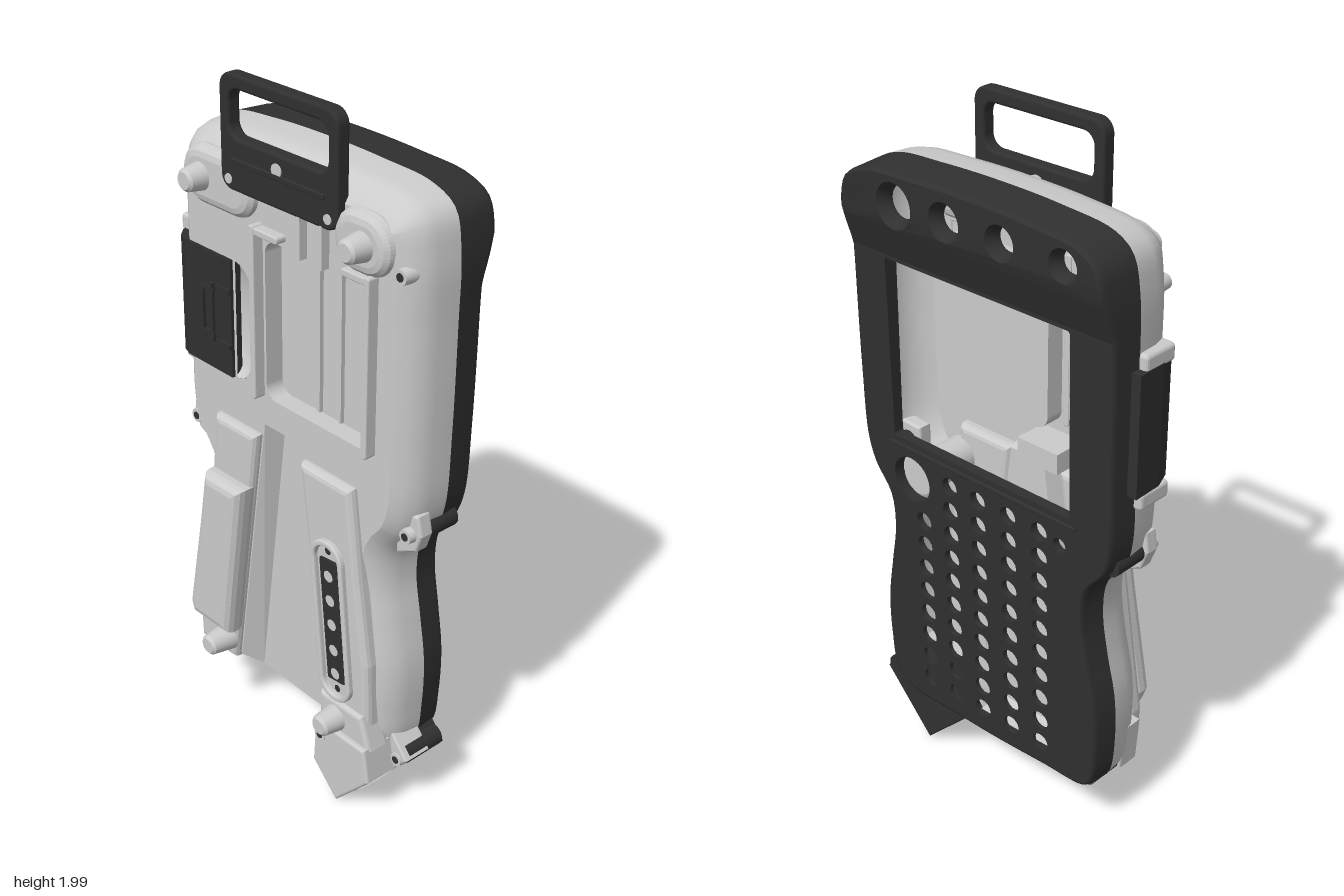
import * as THREE from 'three';

const grey = new THREE.MeshStandardMaterial({ color: 0xcccccc, side: THREE.DoubleSide });
const dark = new THREE.MeshStandardMaterial({ color: 0x303030, side: THREE.DoubleSide });
const pale = new THREE.MeshStandardMaterial({ color: 0xffffff });
const V = (x, y) => new THREE.Vector2(x, y);
const poly = (a) => a.map(([x, y]) => V(x, y));

// Body outline, clockwise seen from the front
const OUTLINE = [
  [-0.36, 1.815], [-0.2, 1.835], [0, 1.842], [0.2, 1.838], [0.36, 1.825], [0.435, 1.785], [0.46, 1.68],
  [0.463, 1.5], [0.463, 1.2], [0.455, 1.0], [0.43, 0.92], [0.375, 0.84], [0.365, 0.74], [0.385, 0.62],
  [0.408, 0.48], [0.408, 0.34], [0.39, 0.22], [0.33, 0.17], [0.15, 0.165], [0, 0.165], [-0.2, 0.175],
  [-0.355, 0.185], [-0.383, 0.215], [-0.4, 0.34], [-0.395, 0.48], [-0.365, 0.62], [-0.348, 0.74],
  [-0.36, 0.84], [-0.42, 0.92], [-0.44, 1.0], [-0.443, 1.2], [-0.443, 1.5], [-0.438, 1.68], [-0.415, 1.775]];
const curve = new THREE.CatmullRomCurve3(OUTLINE.map(([x, y]) => new THREE.Vector3(x, y, 0)), true, 'centripetal');
const N = 200;
const ring = (inset) => Array.from({ length: N }, (_, i) => {
  const p = curve.getPointAt(i / N), t = curve.getTangentAt(i / N);
  return V(p.x + t.y * inset, p.y - t.x * inset);
});

// Skin over cross-sections: each section is a list of Vector3
function loft(sections, closed = true) {
  const n = sections[0].length, idx = [], last = closed ? n : n - 1;
  for (let s = 0; s < sections.length - 1; s++)
    for (let i = 0; i < last; i++) {
      const a = s * n + i, b = s * n + (i + 1) % n;
      idx.push(a, b, a + n, b, b + n, a + n);
    }
  const g = new THREE.BufferGeometry().setFromPoints(sections.flat());
  g.setIndex(idx);
  g.computeVertexNormals();
  return g;
}
const lift = (pts, z) => pts.map((p) => new THREE.Vector3(p.x, p.y, typeof z === 'function' ? z(p) : z));
const wall = (pts, z0, z1) => loft([lift(pts, z0), lift(pts, z1)]);

function face(pts, holes, z) {
  const s = new THREE.Shape(pts);
  s.holes = holes.map((h) => new THREE.Path(h));
  const g = new THREE.ShapeGeometry(s), p = g.attributes.position;
  for (let i = 0; i < p.count; i++) p.setZ(i, typeof z === 'function' ? z({ x: p.getX(i), y: p.getY(i) }) : z);
  g.computeVertexNormals();
  return g;
}
function roundRect(x0, y0, x1, y1, r) {
  const s = new THREE.Shape(), q = Math.PI / 2;
  s.absarc(x1 - r, y1 - r, r, 0, q).absarc(x0 + r, y1 - r, r, q, 2 * q);
  s.absarc(x0 + r, y0 + r, r, 2 * q, 3 * q).absarc(x1 - r, y0 + r, r, 3 * q, 4 * q);
  return s.getPoints(6).slice(0, -1);
}
const circle = (x, y, r, n = 14) => Array.from({ length: n }, (_, i) =>
  V(x + r * Math.cos(i / n * 2 * Math.PI), y + r * Math.sin(i / n * 2 * Math.PI)));

// Raised block with rounded upper edge
function slab(pts, z0, z1, bevel = 0.01, holes = []) {
  const s = new THREE.Shape(pts);
  s.holes = holes.map((h) => new THREE.Path(h));
  const g = new THREE.ExtrudeGeometry(s, { depth: z1 - z0 - 2 * bevel, bevelEnabled: true,
    bevelSize: bevel, bevelOffset: -bevel, bevelThickness: bevel, bevelSegments: 3 });
  return g.translate(0, 0, z0 + bevel);
}
// Keep the part of a polygon between two heights
function band(pts, lo, hi) {
  for (const [y, sign] of [[lo, 1], [hi, -1]]) {
    const out = [];
    pts.forEach((a, i) => {
      const b = pts[(i + 1) % pts.length], da = (a.y - y) * sign, db = (b.y - y) * sign;
      if (da >= 0) out.push(a);
      if (da * db < 0) out.push(a.clone().lerp(b, da / (da - db)));
    });
    pts = out;
  }
  return pts;
}

export function createModel() {
  const root = new THREE.Group();
  const body = new THREE.Group();
  body.name = 'body';
  body.rotation.y = -0.014;
  root.add(body);
  const add = (name, geo, mat = grey, parent = body) => {
    const m = new THREE.Mesh(geo, mat);
    m.name = name;
    parent.add(m);
    return m;
  };
  const post = (name, x, y, z0, z1, r0, r1, mat = grey, parent = body) => {
    const g = new THREE.CylinderGeometry(r1, r0, z1 - z0, 24).rotateX(Math.PI / 2);
    return add(name, g.translate(x, y, (z0 + z1) / 2), mat, parent);
  };

  // Grey shell with a tapering channel open at the bottom
  const TOP = 0.085, FLOOR = 0.03;
  const seam = (p) => -0.047 - 0.011 * p.y;
  const inChannel = (p) => p.y < 0.3 && p.x > -0.2 && p.x < 0.18;
  const base = ring(0), lip = ring(0.014);
  const levels = [[0, 0.004], [0.035, 0.014], [0.065, 0.036], [TOP, 0.065]];
  add('shellSide', loft([lift(base, seam), ...levels.map(([z, k]) => ring(k).map((p, i) => z > FLOOR && inChannel(base[i])
    ? new THREE.Vector3(lip[i].x, lip[i].y, FLOOR) : new THREE.Vector3(p.x, p.y, z)))]));
  const channelTop = poly([[0.185, 0.225], [0.072, 1.055], [-0.08, 1.055], [-0.2, 0.225]]);
  const channelFoot = poly([[0.18, 0.178], [0.06, 1.04], [-0.06, 1.04], [-0.165, 0.186]]);
  const cap = [];
  let cut = false;
  ring(0.065).forEach((p, i) => {
    if (!inChannel(base[i])) cap.push(p);
    else if (!cut) { cut = true; cap.push(...channelTop); }
  });
  const pocket = roundRect(-0.07, 1.14, 0.32, 1.59, 0.04);
  const scoop = Array.from({ length: 17 }, (_, i) => {
    const a = -Math.PI / 2 + i / 16 * Math.PI;
    return V(-0.19 + 0.09 * Math.cos(a), 1.32 + 0.17 * Math.sin(a));
  });
  add('shellPlate', face(cap, [pocket, scoop], TOP));
  add('channelFloor', face(channelFoot, [], FLOOR));
  const flank = loft([lift(channelFoot, FLOOR), lift(channelTop, TOP)], false).toNonIndexed();
  flank.computeVertexNormals();
  add('channelWall', flank);
  add('pocketWall', wall(pocket, FLOOR, TOP));
  add('pocketFloor', face(pocket, [], FLOOR));
  const bowl = new THREE.SphereGeometry(1, 24, 10, 0, Math.PI * 2, Math.PI / 2, Math.PI / 2).rotateX(Math.PI / 2);
  add('fingerScoop', bowl.scale(0.09, 0.17, 0.05).translate(-0.19, 1.32, TOP));

  // Rails and ribs around the pocket
  for (const x of [-0.088, 0.332]) add('pocketRail', slab(roundRect(x - 0.01, 1.14, x + 0.01, 1.63, 0.008), 0.08, 0.118, 0.004));
  for (const x of [-0.04, 0.29]) add('railEnd', slab(roundRect(x - 0.05, 1.605, x + 0.05, 1.625, 0.008), 0.08, 0.115, 0.004));
  for (const x of [0.085, 0.165]) {
    add('pocketRib', new THREE.BoxGeometry(0.01, 0.44, 0.012).translate(x, 1.365, FLOOR + 0.006));
    add('upperRib', new THREE.BoxGeometry(0.01, 0.13, 0.026).translate(x, 1.655, 0.097));
  }

  // Foot pads and rubber feet
  add('footPad', slab(roundRect(-0.375, 1.62, -0.09, 1.78, 0.078), 0.052, 0.112, 0.03));
  add('footPad', slab(roundRect(0.2, 1.62, 0.395, 1.78, 0.078), 0.052, 0.112, 0.03));
  for (const [x, y, z] of [[-0.29, 1.7, 0.166], [0.31, 1.7, 0.168], [-0.235, 0.285, 0.186], [0.25, 0.285, 0.188]]) {
    post('foot', x, y, z - 0.08, z - 0.008, 0.042, 0.031);
    post('footTip', x, y, z - 0.008, z, 0.031, 0.023);
  }

  // Left-hand and right-hand grips
  add('gripBase', slab(poly([[-0.09, 1.02], [-0.265, 1.02], [-0.285, 0.84], [-0.365, 0.34], [-0.36, 0.22], [-0.205, 0.22]]), 0.05, 0.112, 0.02));
  add('gripRidge', slab(poly([[-0.112, 0.85], [-0.27, 0.85], [-0.295, 0.7], [-0.355, 0.38], [-0.34, 0.335], [-0.183, 0.335]]), 0.08, 0.16, 0.03));
  add('gripBase', slab(poly([[0.085, 1.02], [0.28, 1.02], [0.315, 0.75], [0.355, 0.5], [0.365, 0.22], [0.19, 0.22]]), 0.05, 0.112, 0.02));

  // Contact strip set into the grip
  const strip = new THREE.Group();
  strip.name = 'contactStrip';
  strip.position.set(0.225, 0.59, 0);
  strip.rotation.z = 0.1;
  body.add(strip);
  add('stripFrame', slab(roundRect(-0.062, -0.25, 0.062, 0.25, 0.06), 0.09, 0.128, 0.006, [roundRect(-0.045, -0.232, 0.045, 0.232, 0.044)]), grey, strip);
  add('stripPlate', slab(roundRect(-0.033, -0.19, 0.033, 0.19, 0.006), 0.1, 0.118, 0.002), dark, strip);
  for (const y of [0.14, 0.065, -0.01, -0.09, -0.165])
    add('contact', new THREE.CircleGeometry(0.017, 16).translate(0, y, 0.119), pale, strip);
  for (const y of [0.215, -0.215]) add('stripScrew', new THREE.CircleGeometry(0.011, 12).translate(0, y, 0.114), dark, strip);

  // Angled connector block at the foot, with a lower flange for its screws
  add('connectorBlock', slab(poly([[0.185, 0.25], [0.38, 0.25], [0.398, 0.148], [0.27, 0.008], [0.175, 0.1]]), -0.05, 0.14, 0.008));
  add('connectorCollar', slab(poly([[0.185, 0.34], [0.35, 0.34], [0.385, 0.24], [0.185, 0.23]]), 0.05, 0.125, 0.012));
  add('connectorFlange', slab(poly([[0.2, 0.3], [0.375, 0.28], [0.445, 0.2], [0.27, 0.008], [0.105, 0.17], [0.13, 0.21]]), -0.05, 0.04, 0.006));
  add('connectorBase', slab(poly([[0.2, 0.3], [0.36, 0.28], [0.44, 0.19], [0.27, 0.006], [0.1, 0.175]]), -0.112, -0.05, 0.005), dark);
  const port = add('connectorPort', new THREE.CylinderGeometry(0.066, 0.066, 0.012, 32), pale);
  port.position.set(0.328, 0.072, 0.045);
  port.rotation.z = Math.atan2(0.192, 0.175);

  // Screw lugs set low on the edge, and the pins behind them
  const lugs = [
    [0.04, [[0.38, 0.99], [0.455, 0.995], [0.467, 0.94], [0.45, 0.89], [0.38, 0.855]]],
    [0.04, [[-0.36, 0.99], [-0.437, 0.995], [-0.446, 0.94], [-0.425, 0.885], [-0.36, 0.855]]],
    [0.07, [[-0.3, 0.335], [-0.392, 0.335], [-0.382, 0.195], [-0.3, 0.188]]]];
  for (const [z, l] of lugs) add('lug', slab(poly(l), -0.005, z, 0.008));
  for (const [x, y] of [[0.425, 0.935], [-0.405, 0.935], [-0.345, 0.215], [0.408, 0.2]])
    post('lugPin', x, y, -0.105, 0.02, 0.032, 0.032, dark);
  const screws = [[-0.39, 1.65, 0.088], [0.415, 1.65, 0.088], [-0.41, 0.935, 0.06], [0.43, 0.935, 0.06],
    [-0.345, 0.215, 0.085], [0.408, 0.188, 0.045], [0.135, 0.18, 0.045], [0.205, 0.205, 0.142]];
  for (const [x, y, z] of screws) {
    post('screwBoss', x, y, z - 0.04, z, 0.024, 0.02);
    post('screw', x, y, z - 0.01, z + 0.002, 0.011, 0.011, dark);
  }

  // Side door wrapping round the edge, with grey hinge lugs
  const door = new THREE.Shape(poly([[-0.47, 0.09], [-0.467, 0], [-0.445, -0.055], [-0.42, -0.082],
    [-0.39, -0.092], [-0.2, -0.094], [-0.2, -0.06], [-0.39, -0.055], [-0.43, 0], [-0.435, 0.09]]));
  add('sideDoor', new THREE.ExtrudeGeometry(door, { depth: 0.34, bevelEnabled: false })
    .rotateX(-Math.PI / 2).translate(0, 1.15, 0), dark);
  for (const y of [1.125, 1.505])
    add('doorLug', slab(roundRect(-0.466, y - 0.025, -0.41, y + 0.025, 0.012), -0.065, 0.045, 0.01));
  for (const [x, y, w, h] of [[-0.315, 1.32, 0.012, 0.12], [-0.29, 1.385, 0.05, 0.012], [-0.29, 1.255, 0.05, 0.012],
    [-0.225, 1.4, 0.05, 0.014], [-0.225, 1.24, 0.05, 0.014], [-0.275, 1.32, 0.012, 0.17]])
    add('doorLatch', new THREE.BoxGeometry(w, h, 0.014).translate(x, y, 0.095), dark);

  // Carrying handle
  const grip = roundRect(-0.202, 1.7, 0.222, 2, 0.04);
  add('handle', slab(grip, 0.072, 0.113, 0.008, [roundRect(-0.168, 1.84, 0.188, 1.963, 0.035)]), dark, root);
  add('handleRib', slab(roundRect(-0.16, 1.775, 0.18, 1.79, 0.005), 0.1, 0.118, 0.003), dark, root);
  for (const [x, y, r] of [[0.01, 1.8, 0.018], [-0.17, 1.73, 0.013], [0.19, 1.73, 0.013]])
    post('handleScrew', x, y, 0.1, 0.116, r, r, grey, root);
  post('handlePivot', 0.01, 1.79, 0.03, 0.075, 0.03, 0.025, grey, root);

  // Dark control face, deeper round the head
  const backZ = ({ y }) => y > 1.7 ? -0.192 : y > 1.58 ? -0.15 - 0.35 * (y - 1.58) : -0.122 - 0.018 * y;
  add('faceSide', loft([lift(base, seam), lift(ring(0.006), (p) => backZ(p) * 0.9),
    lift(ring(0.009), (p) => backZ(p) * 0.98), lift(ring(0.015), backZ)]), dark);
  const rim = ring(0.015);
  const window_ = roundRect(-0.3, 1.045, 0.335, 1.57, 0.01);
  const keys = [], knob = circle(0.275, 0.925, 0.068, 28);
  for (const x of [0.235, 0.13, 0.025, -0.085, -0.195])
    for (let r = 0; r < 10; r++)
      if (x < 0.2 || r > 1) keys.push(circle(x, 0.96 - r * 0.078, 0.028));
  keys.push(circle(-0.265, 0.95, 0.022));
  const lenses = [[0.25, 1.745, 0.062], [0.075, 1.75, 0.052], [-0.11, 1.75, 0.047], [-0.31, 1.752, 0.044]];
  add('keypadFace', face(band(rim, 0, 1.58), [window_, knob, ...keys], backZ), dark);
  add('headRamp', face(band(rim, 1.58, 1.68), [], backZ), dark);
  add('headFace', face(band(rim, 1.68, 2), lenses.map((l) => circle(...l, 28)), backZ), dark);
  add('windowEdge', wall(window_, backZ, -0.11), dark);
  add('knobEdge', wall(knob, backZ, -0.105), dark);
  keys.forEach((k) => add('keyEdge', wall(k, backZ, -0.115), dark));
  for (const [x, y, r] of lenses)
    add('lensCone', loft([lift(circle(x, y, r, 28), -0.192), lift(circle(x, y, r * 0.72, 28), -0.165), lift(circle(x, y, r * 0.72, 28), -0.15)]), dark);
  add('faceRidge', slab(roundRect(-0.32, 1.015, 0.35, 1.028, 0.006), -0.146, -0.13, 0.003), dark);

  // Supports inside the shell, seen through the openings
  add('innerBlock', new THREE.BoxGeometry(0.14, 0.06, 0.1).translate(-0.08, 1.09, 0.03));
  post('knobSocket', 0.275, 0.925, -0.115, 0.06, 0.055, 0.055);
  return root;
}
